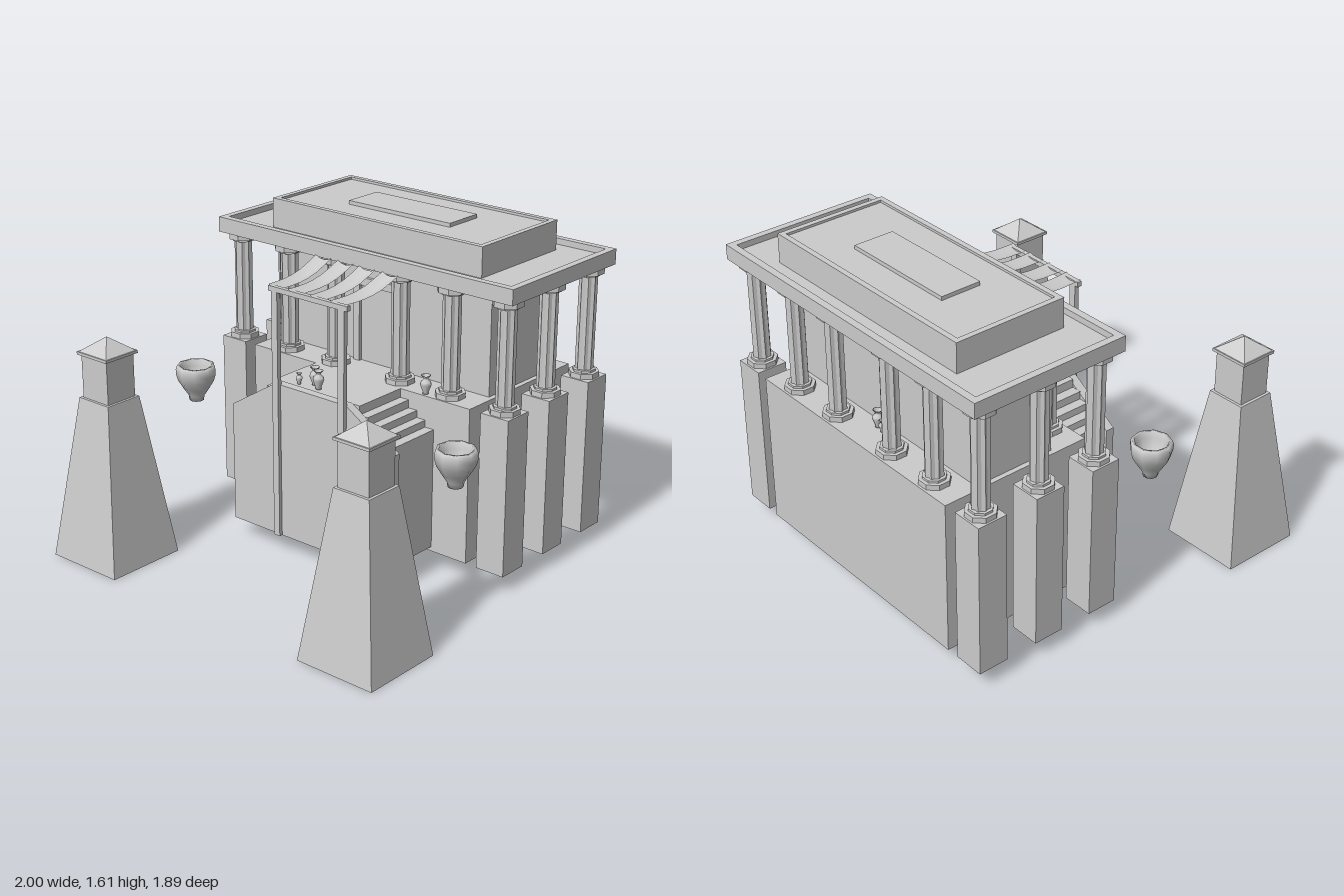
import * as THREE from 'three';

const flat = new THREE.MeshStandardMaterial({ color: 0xcccccc, flatShading: true, side: THREE.DoubleSide });
const smooth = new THREE.MeshStandardMaterial({ color: 0xcccccc, side: THREE.DoubleSide });

function add(parent, name, geometry, x = 0, y = 0, z = 0, material = flat) {
  const mesh = new THREE.Mesh(geometry, material);
  mesh.name = name;
  mesh.position.set(x, y, z);
  parent.add(mesh);
  return mesh;
}

// Box given by its ranges on each axis
function block(parent, name, x0, x1, y0, y1, z0, z1) {
  return add(parent, name, new THREE.BoxGeometry(x1 - x0, y1 - y0, z1 - z0),
    (x0 + x1) / 2, (y0 + y1) / 2, (z0 + z1) / 2);
}

// Hollow block without a bottom, optionally tapering to the top
function shell(parent, name, x, z, w, d, y0, y1, taper = 1) {
  const g = new THREE.BoxGeometry(w, y1 - y0, d);
  const index = Array.from(g.index.array);
  index.splice(18, 6);
  g.setIndex(index);
  g.clearGroups();
  const p = g.attributes.position;
  for (let i = 0; i < p.count; i++) {
    if (p.getY(i) > 0) p.setXYZ(i, p.getX(i) * taper, p.getY(i), p.getZ(i) * taper);
  }
  return add(parent, name, g, x, (y0 + y1) / 2, z);
}

function lathe(points, segments) {
  return new THREE.LatheGeometry(points.map(([r, y]) => new THREE.Vector2(r, y)), segments);
}

// Slab whose top is sunk inside a narrow raised rim
function tray(parent, name, hw, hd, z, y0, y1, rim, depth) {
  const group = new THREE.Group();
  group.name = name;
  parent.add(group);
  block(group, name + 'Slab', -hw, hw, y0, y1 - depth, z - hd, z + hd);
  for (const s of [-1, 1]) {
    const zc = z + s * (hd - rim / 2), xc = s * (hw - rim / 2);
    block(group, name + 'Rim', -hw, hw, y1 - depth, y1, zc - rim / 2, zc + rim / 2);
    block(group, name + 'Rim', xc - rim / 2, xc + rim / 2, y1 - depth, y1, z - hd + rim, z + hd - rim);
  }
}

// Fluted column with octagonal base and capital
function column(parent, x, z) {
  const group = new THREE.Group();
  group.name = 'column';
  group.position.set(x, 0, z);
  parent.add(group);
  const shape = new THREE.Shape();
  for (let i = 0; i < 16; i++) {
    const a = (i + 0.5) * Math.PI / 8, r = i % 2 ? 0.044 : 0.036;
    shape[i ? 'lineTo' : 'moveTo'](r * Math.cos(a), r * Math.sin(a));
  }
  const shaft = new THREE.ExtrudeGeometry(shape, { depth: 0.49, bevelEnabled: false });
  shaft.rotateX(-Math.PI / 2);
  add(group, 'columnShaft', shaft, 0, 0.89, 0);
  const disc = (name, r, y, h) =>
    add(group, name, new THREE.CylinderGeometry(r, r, h, 8).rotateY(Math.PI / 8), 0, y, 0);
  disc('columnBase', 0.074, 0.879, 0.028);
  disc('columnBaseRing', 0.056, 0.898, 0.012);
  disc('columnCapitalRing', 0.056, 1.374, 0.012);
  disc('columnCapital', 0.074, 1.395, 0.032);
}

// Small vase with a narrow neck, profile in units of its height
function vase(parent, x, z, h) {
  const profile = [[0, 0], [0.16, 0], [0.15, 0.1], [0.3, 0.5], [0.27, 0.64], [0.13, 0.78], [0.14, 0.86], [0.26, 1], [0.2, 0.98]];
  add(parent, 'vase', lathe(profile.map(([r, y]) => [r * h, y * h]), 10), x, 0.867, z, smooth);
}

// Sagging ribbon of cloth hung from the roof to the front beam
function ribbon(parent, xBack, xFront) {
  const path = new THREE.SplineCurve([[-0.13, 1.42], [-0.015, 1.377], [0.1, 1.36], [0.218, 1.362]]
    .map(p => new THREE.Vector2(...p)));
  const across = 4, along = 6;
  const g = new THREE.PlaneGeometry(1, 1, across, along);
  const p = g.attributes.position;
  for (let i = 0; i < p.count; i++) {
    const u = p.getX(i) * 2, t = 0.5 - p.getY(i);
    const q = path.getPoint(t);
    const x = xBack + (xFront - xBack) * t;
    p.setXYZ(i, x + u * 0.049, q.y - 0.014 * (1 - u * u), q.x);
  }
  g.computeVertexNormals();
  add(parent, 'awningRibbon', g, 0, 0, 0, smooth);
}

export function createModel() {
  const model = new THREE.Group();
  model.name = 'temple';

  // Podium and the separate side pedestals
  shell(model, 'podium', 0, -0.537, 1.34, 0.795, 0.087, 0.867);
  const rows = [-0.215, -0.535, -0.855];
  for (const s of [-1, 1]) {
    for (const z of rows) shell(model, 'pedestal', s * 0.81, z, 0.155, 0.155, 0.087, 0.867);
  }

  // Colonnade
  for (const z of rows) {
    const xs = z === rows[1] ? [0.81] : [0.2, 0.5, 0.81];
    for (const x of xs) for (const s of [-1, 1]) column(model, s * x, z);
  }

  // Inner hall with framed doorway
  block(model, 'hall', -0.645, 0.645, 0.867, 1.412, -0.745, -0.32);
  for (const s of [-1, 1]) {
    block(model, 'doorJamb', s * 0.145 - 0.018, s * 0.145 + 0.018, 0.867, 1.295, -0.32, -0.302);
  }
  block(model, 'doorLintel', -0.127, 0.127, 1.255, 1.295, -0.32, -0.302);

  // Roof, attic and top panel
  tray(model, 'roof', 0.893, 0.41, -0.54, 1.412, 1.488, 0.036, 0.03);
  tray(model, 'attic', 0.636, 0.292, -0.54, 1.458, 1.605, 0.028, 0.012);
  block(model, 'roofPanel', -0.308, 0.308, 1.59, 1.612, -0.645, -0.435);

  // Double staircase rising to the porch
  shell(model, 'stairBlock', 0, 0.008, 0.93, 0.296, 0.11, 0.712);
  const levels = [0.712, 0.747, 0.783, 0.823, 0.867];
  for (let i = 1; i < levels.length; i++) {
    const hw = 0.465 - i * 0.05;
    block(model, 'stairStep', -hw, hw, levels[i - 1], levels[i], -0.14, 0.156);
  }

  // Porch front wall with sloping shoulders
  const wall = new THREE.Shape([[-0.5, 0.09], [0.5, 0.09], [0.5, 0.695], [0.22, 0.87], [-0.22, 0.87], [-0.5, 0.695]]
    .map(p => new THREE.Vector2(...p)));
  add(model, 'porchWall', new THREE.ExtrudeGeometry(wall, { depth: 0.045, bevelEnabled: false }), 0, 0, 0.155);

  // Awning posts, beam and ribbons
  for (const s of [-1, 1]) {
    block(model, 'awningPost', s * 0.204 - 0.018, s * 0.204 + 0.018, 0.09, 1.332, 0.194, 0.218);
    ribbon(model, s * 0.205, s * 0.187);
    ribbon(model, s * 0.067, s * 0.067);
  }
  block(model, 'awningBeam', -0.24, 0.24, 1.33, 1.355, 0.194, 0.218);

  // Vases on the porch and between the columns
  for (const [x, z, h] of [[-0.135, 0.125, 0.055], [-0.07, 0.085, 0.09], [-0.022, 0.115, 0.092],
    [0.395, -0.165, 0.092], [0, -0.78, 0.09], [-0.045, -0.79, 0.06]]) vase(model, x, z, h);

  // Large bowls and the two front towers
  const bowl = [[0, 0.62], [0.036, 0.62], [0.04, 0.645], [0.066, 0.685], [0.09, 0.725], [0.1, 0.76], [0.1, 0.785],
    [0.094, 0.803], [0.08, 0.803], [0.077, 0.77], [0.055, 0.7], [0, 0.66]];
  for (const s of [-1, 1]) {
    add(model, 'bowl', lathe(bowl, 9), s * 0.81, 0, 0.14, smooth);

    const tower = new THREE.Group();
    tower.name = 'tower';
    tower.position.set(s * 0.79, 0, 0.733);
    model.add(tower);
    shell(tower, 'towerBase', 0, 0, 0.42, 0.42, 0, 0.815, 0.47);
    block(tower, 'towerShaft', -0.085, 0.085, 0.815, 1.03, -0.085, 0.085);
    block(tower, 'towerCornice', -0.1, 0.1, 1.03, 1.044, -0.1, 0.1);
    const cap = new THREE.ConeGeometry(0.095 * Math.SQRT2, 0.071, 4).rotateY(Math.PI / 4);
    add(tower, 'towerCap', cap, 0, 1.079, 0);
  }
  return model;
}
